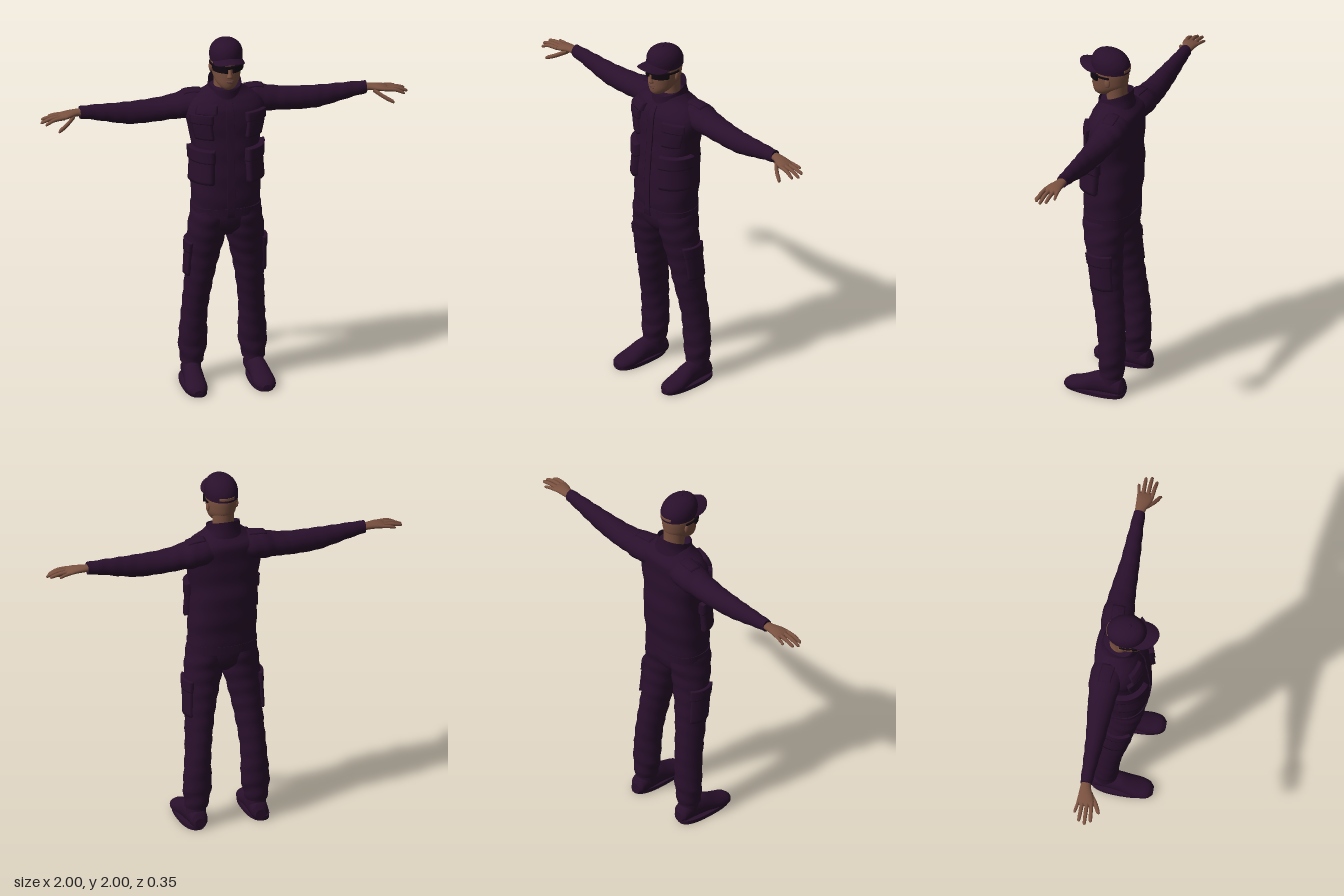
import * as THREE from 'three';

const mat = (name, color, side = THREE.FrontSide) => {
  const m = new THREE.MeshStandardMaterial({ color, side });
  m.name = name;
  return m;
};

// Ring = [t, a, b, ra, rb, power]: t runs along the axis, (a, b) is the centre, ra/rb the radii.
function sample(rings, t) {
  let i = 0;
  while (i < rings.length - 2 && t > rings[i + 1][0]) i++;
  const p = rings[i], q = rings[i + 1], h = q[0] - p[0], f = (t - p[0]) / h;
  const slope = (n, k) => {
    const l = rings[Math.max(n - 1, 0)], r = rings[Math.min(n + 1, rings.length - 1)];
    return ((r[k] ?? 2) - (l[k] ?? 2)) / (r[0] - l[0]);
  };
  return [1, 2, 3, 4, 5].map((k) => {
    const f2 = f * f, f3 = f2 * f;
    return (2 * f3 - 3 * f2 + 1) * (p[k] ?? 2) + (f3 - 2 * f2 + f) * h * slope(i, k)
      + (3 * f2 - 2 * f3) * (q[k] ?? 2) + (f3 - f2) * h * slope(i + 1, k);
  });
}

function pointAt(rings, axis, t, th, off = 0) {
  const [a, b, ra, rb, n] = sample(rings, t);
  const pw = (v) => Math.sign(v) * Math.abs(v) ** (2 / n);
  const u = a + (ra + off) * pw(Math.cos(th)), v = b + (rb + off) * pw(Math.sin(th));
  if (axis === 'x') return [t, u, v];
  return axis === 'y' ? [u, t, v] : [u, v, t];
}

function grid(rows, flip, closed) {
  const w = rows[0].length, idx = [];
  for (let i = 0; i < rows.length - 1; i++) {
    for (let j = 0; j < (closed ? w : w - 1); j++) {
      const k = (j + 1) % w;
      const a = i * w + j, b = i * w + k, c = (i + 1) * w + k, d = (i + 1) * w + j;
      idx.push(...(flip ? [a, c, b, a, d, c] : [a, b, c, a, c, d]));
    }
  }
  const g = new THREE.BufferGeometry();
  g.setAttribute('position', new THREE.Float32BufferAttribute(rows.flat(2), 3));
  g.setIndex(idx);
  g.computeVertexNormals();
  return g;
}

// Closed body through the rings, with optional cloth folds
function loft(rings, axis, { seg = 32, sub = 5, fold = 0, freq = 60, caps = true } = {}) {
  const rows = [];
  for (let i = 0; i < rings.length; i++) {
    const steps = i < rings.length - 1 ? sub : 1;
    for (let s = 0; s < steps; s++) {
      const t = s ? THREE.MathUtils.lerp(rings[i][0], rings[i + 1][0], s / sub) : rings[i][0];
      rows.push(Array.from({ length: seg }, (_, j) => {
        const th = (j / seg) * Math.PI * 2;
        return pointAt(rings, axis, t, th, fold * Math.sin(t * freq + 2.5 * Math.sin(th)));
      }));
    }
  }
  if (caps) {
    const centre = (row) => row.map(() => [0, 1, 2].map((k) => row.reduce((s, p) => s + p[k], 0) / seg));
    const first = rows[0], last = rows[rows.length - 1];
    rows.unshift(centre(first), first);
    rows.push(last, centre(last));
  }
  return grid(rows, axis === 'y', true);
}

// Raised panel that follows a lofted body; angles in degrees
function panel(rings, axis, d0, d1, t0, t1, thick, n = 10) {
  const steps = [0, ...Array.from({ length: n + 1 }, (_, i) => i / n), 1];
  const rim = (i) => i === 0 || i === steps.length - 1;
  const rows = steps.map((f, i) => steps.map((e, j) => pointAt(rings, axis,
    t0 + (t1 - t0) * f, THREE.MathUtils.degToRad(d0 + (d1 - d0) * e), rim(i) || rim(j) ? -0.006 : thick)));
  return grid(rows, axis === 'y', false);
}

function ball(x, y, z, sx, sy, sz) {
  return new THREE.SphereGeometry(1, 24, 16).scale(sx, sy, sz).translate(x, y, z);
}

function mirrored(geo) {
  const g = geo.clone().scale(-1, 1, 1), ix = g.index.array;
  for (let i = 0; i < ix.length; i += 3) [ix[i + 1], ix[i + 2]] = [ix[i + 2], ix[i + 1]];
  g.computeVertexNormals();
  return g;
}

export function createModel() {
  const root = new THREE.Group();
  root.name = 'man';
  const cloth = mat('darkCloth', 0x29102c, THREE.DoubleSide);
  const skin = mat('skin', 0x7a5140);
  const lips = mat('lips', 0x64403a);
  const lens = mat('darkLens', 0x120812);
  const add = (name, geo, m) => {
    const mesh = new THREE.Mesh(geo, m);
    mesh.name = name;
    root.add(mesh);
  };
  const pair = (name, geo, m) => {
    add(name + 'Left', geo, m);
    add(name + 'Right', mirrored(geo), m);
  };

  // Jacket
  const torso = [[1.0, 0, -0.015, 0.184, 0.132, 2.4], [1.1, 0, -0.015, 0.184, 0.138, 2.4],
    [1.2, 0, -0.022, 0.184, 0.144, 2.4], [1.33, 0, -0.03, 0.178, 0.144, 2.4], [1.43, 0, -0.03, 0.187, 0.136, 2.4],
    [1.53, 0, -0.034, 0.21, 0.133, 2.4], [1.6, 0, -0.038, 0.212, 0.13, 2.3], [1.645, 0, -0.048, 0.185, 0.116, 2.2],
    [1.68, 0, -0.045, 0.125, 0.094, 2], [1.71, 0, -0.035, 0.085, 0.08, 2]];
  add('jacket', loft(torso, 'y', { seg: 48, fold: 0.002, freq: 45 }), cloth);
  add('frontPlacket', panel(torso, 'y', 86, 94, 1.0, 1.65, 0.006, 16), cloth);
  add('hemBand', loft([[1.005, 0, -0.015, 0.187, 0.136, 2.4], [1.05, 0, -0.015, 0.188, 0.138, 2.4]], 'y'), cloth);
  pair('waistPocket', panel(torso, 'y', 3, 66, 1.2, 1.35, 0.024), cloth);
  pair('waistPocketFlap', panel(torso, 'y', 1, 68, 1.32, 1.39, 0.03), cloth);
  pair('chestPocket', panel(torso, 'y', 30, 68, 1.45, 1.55, 0.014), cloth);
  pair('chestPocketFlap', panel(torso, 'y', 28, 70, 1.54, 1.59, 0.018), cloth);
  add('chestRadioPouch', panel(torso, 'y', 105, 140, 1.595, 1.64, 0.02), cloth);

  // Standing collar, higher at the back
  const collar = loft([[1.635, 0, -0.035, 0.125, 0.105], [1.69, 0, -0.035, 0.094, 0.097],
    [1.738, 0, -0.035, 0.088, 0.094]], 'y', { caps: false });
  const cp = collar.attributes.position;
  for (let i = 0; i < cp.count; i++) cp.setY(i, cp.getY(i) - (cp.getZ(i) + 0.035) * 0.37);
  collar.computeVertexNormals();
  add('collar', collar, cloth);

  // Sleeves
  const arm = [[0.08, 1.6, -0.07, 0.07, 0.09], [0.15, 1.6, -0.08, 0.075, 0.09], [0.2, 1.596, -0.085, 0.076, 0.086],
    [0.26, 1.588, -0.085, 0.067, 0.076], [0.35, 1.578, -0.085, 0.063, 0.067], [0.5, 1.574, -0.08, 0.062, 0.052],
    [0.6, 1.583, -0.08, 0.053, 0.044], [0.7, 1.595, -0.08, 0.042, 0.036], [0.78, 1.602, -0.08, 0.034, 0.031]];
  pair('sleeve', loft(arm, 'x', { fold: 0.0015, freq: 75 }), cloth);
  pair('shoulderStrap', panel(arm, 'x', -22, 22, 0.12, 0.22, 0.006), cloth);

  // Hands
  pair('palm', loft([[0.765, 1.602, -0.08, 0.021, 0.025], [0.8, 1.603, -0.078, 0.019, 0.029],
    [0.85, 1.6, -0.068, 0.018, 0.041], [0.885, 1.595, -0.066, 0.014, 0.045], [0.9, 1.592, -0.066, 0.008, 0.038]],
  'x', { seg: 24 }), skin);
  const finger = (a, b, c, r) => {
    const tip = a.map((_, k) => b[k] + (c[k] - b[k]) * 0.88);
    return loft([[...a, r, r], [...b, r * 0.95, r * 0.95], [...tip, r * 0.75, r * 0.75],
      [...c, r * 0.25, r * 0.25]], 'x', { seg: 12, sub: 3 });
  };
  [[-0.032, 0.98, 1.57, -0.02], [-0.055, 1.0, 1.572, -0.05], [-0.08, 0.99, 1.58, -0.082],
    [-0.1, 0.945, 1.585, -0.113]].forEach(([z, x, y, tz], i) => {
    pair('finger' + (i + 1), finger([0.87, 1.597, z], [(0.88 + x) / 2, 1.592, (z + tz) / 2], [x, y, tz],
      i === 3 ? 0.009 : 0.011), skin);
  });
  pair('thumb', finger([0.815, 1.592, -0.055], [0.865, 1.562, -0.015], [0.915, 1.538, 0.012], 0.014), skin);

  // Trousers
  const leg = [[0.11, 0.168, -0.085, 0.059, 0.067], [0.15, 0.166, -0.086, 0.067, 0.068],
    [0.22, 0.163, -0.087, 0.077, 0.07], [0.4, 0.156, -0.077, 0.07, 0.078], [0.6, 0.138, -0.047, 0.077, 0.088],
    [0.75, 0.121, -0.029, 0.091, 0.093], [0.88, 0.104, -0.014, 0.104, 0.105], [0.98, 0.095, -0.01, 0.1, 0.118],
    [1.05, 0.09, -0.01, 0.09, 0.118]];
  pair('trouserLeg', loft(leg, 'y', { sub: 7, fold: 0.0025, freq: 70 }), cloth);
  add('trouserSeat', loft([[0.875, 0, -0.012, 0.08, 0.06], [0.92, 0, -0.012, 0.16, 0.1],
    [0.98, 0, -0.01, 0.185, 0.118], [1.05, 0, -0.01, 0.18, 0.118]], 'y'), cloth);
  pair('cargoPocket', panel(leg, 'y', -42, 36, 0.64, 0.81, 0.012), cloth);
  pair('cargoPocketFlap', panel(leg, 'y', -44, 38, 0.78, 0.84, 0.016), cloth);

  // Boots
  const boot = loft([[-0.163, 0.17, 0.035, 0.03, 0.03], [-0.145, 0.17, 0.05, 0.046, 0.05],
    [-0.08, 0.172, 0.06, 0.05, 0.065], [0, 0.178, 0.055, 0.052, 0.062], [0.05, 0.182, 0.04, 0.057, 0.053],
    [0.1, 0.185, 0.03, 0.06, 0.042], [0.15, 0.187, 0.025, 0.048, 0.032], [0.173, 0.187, 0.02, 0.024, 0.018]], 'z');
  const bp = boot.attributes.position;
  for (let i = 0; i < bp.count; i++) bp.setY(i, Math.max(bp.getY(i), 0.004));
  boot.computeVertexNormals();
  pair('boot', boot, cloth);
  pair('bootShaft', loft([[0.06, 0.17, -0.085, 0.052, 0.062], [0.2, 0.168, -0.085, 0.05, 0.058]], 'y'), cloth);
  pair('bootSole', loft([[0, 0.182, 0.005, 0.062, 0.168, 2.5], [0.022, 0.182, 0.005, 0.063, 0.17, 2.5]], 'y'), cloth);

  // Head and neck
  const head = [[1.722, 0, 0.045, 0.024, 0.03], [1.735, 0, 0.036, 0.043, 0.052], [1.76, 0, 0.02, 0.062, 0.075],
    [1.79, 0, 0.002, 0.073, 0.095], [1.83, 0, -0.003, 0.08, 0.1], [1.88, 0, -0.005, 0.083, 0.1],
    [1.93, 0, -0.005, 0.072, 0.088]];
  add('head', loft(head, 'y'), skin);
  add('neck', loft([[1.62, 0, -0.045, 0.062, 0.06], [1.72, 0, -0.04, 0.057, 0.055],
    [1.8, 0, -0.035, 0.06, 0.062]], 'y'), skin);
  add('nose', loft([[1.797, 0, 0.093, 0.016, 0.012], [1.806, 0, 0.096, 0.017, 0.018], [1.825, 0, 0.095, 0.01, 0.014],
    [1.855, 0, 0.093, 0.007, 0.007]], 'y', { seg: 16 }), skin);
  add('upperLip', ball(0, 1.779, 0.092, 0.022, 0.005, 0.011), lips);
  add('lowerLip', ball(0, 1.77, 0.089, 0.02, 0.006, 0.011), lips);
  add('chin', ball(0, 1.744, 0.074, 0.024, 0.015, 0.016), skin);
  pair('ear', ball(0.081, 1.828, -0.02, 0.009, 0.027, 0.016), skin);

  // Sunglasses
  pair('sunglassLens', panel(head, 'y', 24, 81, 1.83, 1.868, 0.012), lens);
  add('sunglassBridge', panel(head, 'y', 78, 102, 1.853, 1.867, 0.012), lens);
  pair('sunglassTemple', panel(head, 'y', -14, 28, 1.853, 1.863, 0.007), lens);

  // Cap with curved brim
  const cap = [[1.876, 0, -0.006, 0.087, 0.106], [1.915, 0, -0.003, 0.088, 0.107], [1.95, 0, 0.003, 0.078, 0.094],
    [1.975, 0, 0.009, 0.056, 0.069], [1.987, 0, 0.013, 0.03, 0.036], [1.991, 0, 0.014, 0.006, 0.006]];
  add('capCrown', loft(cap, 'y'), cloth);
  add('capButton', ball(0, 1.991, 0.014, 0.008, 0.005, 0.008), cloth);
  const brim = ball(0, 1.906, 0.07, 0.084, 0.007, 0.102);
  const rp = brim.attributes.position;
  for (let i = 0; i < rp.count; i++) rp.setY(i, rp.getY(i) - 4.2 * rp.getX(i) ** 2);
  brim.computeVertexNormals();
  add('capBrim', brim, cloth);
  add('capBackOpening', panel(cap, 'y', -118, -62, 1.888, 1.903, 0.002), skin);
  return root;
}
